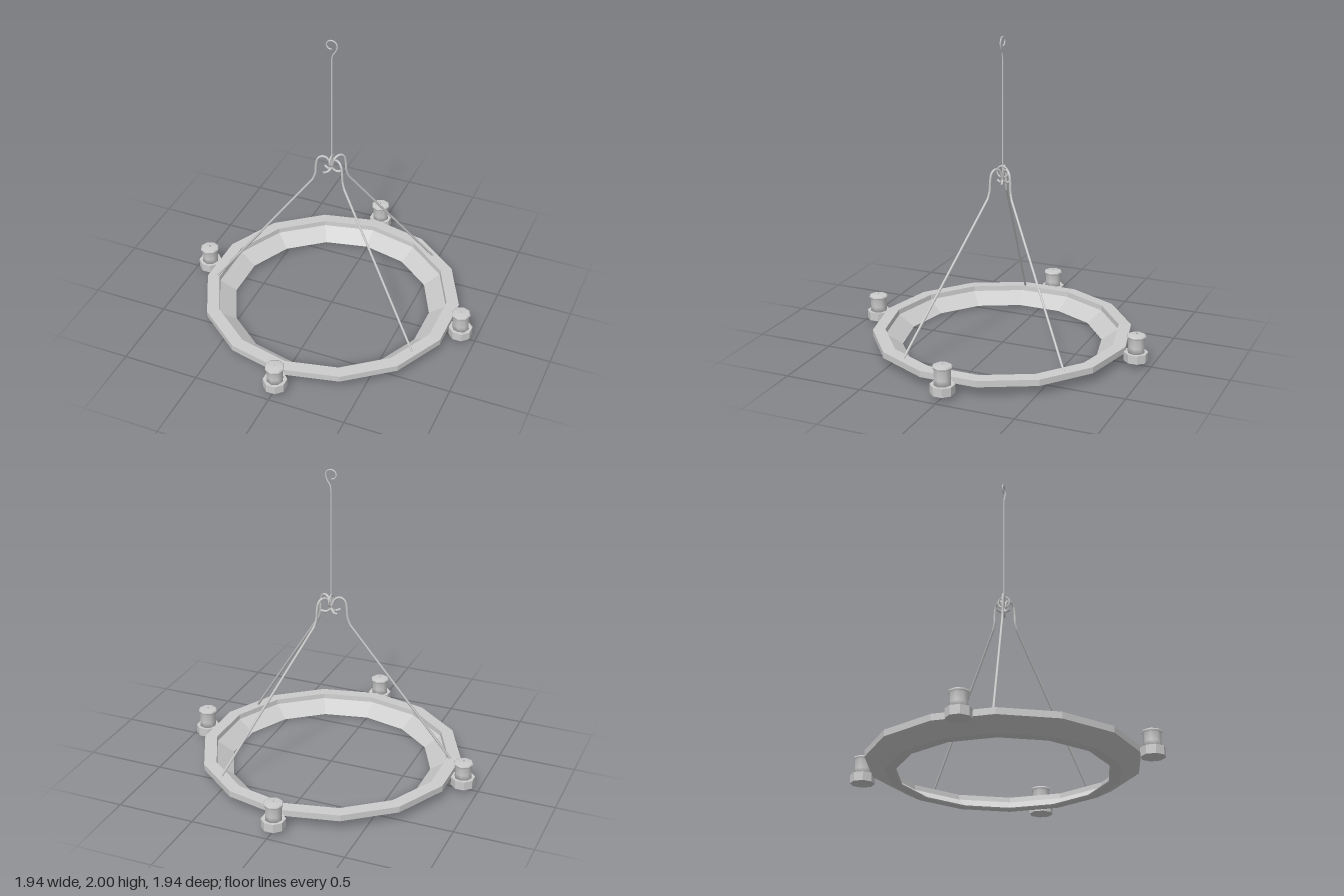
import * as THREE from 'three';

const metal = new THREE.MeshStandardMaterial({ color: 0xcccccc });
const faceted = new THREE.MeshStandardMaterial({ color: 0xcccccc, flatShading: true });

function addMesh(parent, name, geometry, material = metal) {
  const mesh = new THREE.Mesh(geometry, material);
  mesh.name = name;
  parent.add(mesh);
  return mesh;
}

const lathe = (pts, sides) =>
  new THREE.LatheGeometry(pts.map(([r, y]) => new THREE.Vector2(r, y)), sides);

// Round bar through [x, y] points, with straight runs kept as separate curve pieces
function bar(straightStart, bend, radius) {
  const v = ([x, y]) => new THREE.Vector3(x, y, 0);
  const path = new THREE.CurvePath();
  path.add(new THREE.LineCurve3(v(straightStart), v(bend[0])));
  path.add(new THREE.CatmullRomCurve3(bend.map(v), false, 'centripetal'));
  return new THREE.TubeGeometry(path, 90, radius, 6);
}

function createCandle(height, tilt) {
  const candle = new THREE.Group();
  candle.name = 'candleHolder';
  // Octagonal cup
  const cup = addMesh(candle, 'cup', new THREE.CylinderGeometry(0.076, 0.076, 0.056, 8), faceted);
  cup.position.y = 0.058;
  cup.rotation.y = Math.PI / 8;
  // Wax with a slightly flared, lipped top
  const wax = new THREE.Group();
  wax.name = 'candle';
  wax.position.y = 0.08;
  wax.rotation.z = tilt;
  candle.add(wax);
  const h = height - 0.08;
  addMesh(wax, 'wax', lathe([[0, -0.01], [0.056, -0.01], [0.053, 0.04], [0.055, h - 0.03],
    [0.062, h - 0.022], [0.063, h - 0.012], [0.054, h - 0.007], [0, h - 0.004]], 8));
  addMesh(wax, 'wick', new THREE.CylinderGeometry(0.004, 0.004, 0.02, 5)).position.y = h - 0.003;
  return candle;
}

export function createModel() {
  const model = new THREE.Group();
  model.name = 'chandelier';

  // Fourteen-sided ring with sloping underside and a stepped inner face
  const ring = addMesh(model, 'ring', lathe([[0.71, 0], [0.83, 0.065], [0.83, 0.105], [0.75, 0.108],
    [0.747, 0.075], [0.64, 0.005], [0.645, 0], [0.71, 0]], 14), faceted);
  ring.scale.x = 1.02;

  // Four candles around the ring
  const candles = [[0.9, 0, 0.212, 0.03], [-0.9, 0, 0.199, 0], [0, 0.9, 0.2, 0], [0, -0.9, 0.206, 0.02]];
  for (const [x, z, height, tilt] of candles) {
    const candle = createCandle(height, tilt);
    candle.position.set(x, 0, z);
    model.add(candle);
  }

  // Three arms that hook over the central link
  const hook = [[0.12, 0.99], [0.104, 1.04], [0.1, 1.1], [0.088, 1.15], [0.06, 1.17], [0.028, 1.16],
    [0.008, 1.12], [-0.004, 1.09], [-0.03, 1.07], [-0.065, 1.074]];
  for (const [x, z] of [[-0.77, 0.155], [0.495, -0.61], [0.7, 0.36]]) {
    const arm = addMesh(model, 'arm', bar([Math.hypot(x, z), 0.1], hook, 0.008));
    arm.rotation.y = Math.atan2(-z, x);
  }

  // Link joining the arms to the hanging rod
  const link = addMesh(model, 'link', new THREE.TorusGeometry(0.037, 0.006, 6, 20));
  link.rotation.y = Math.PI / 2;
  link.position.y = 1.145;

  // Hanging rod with a curled hook at the top
  const curl = [[0, 1.86], [0.006, 1.895], [0.026, 1.927], [0.035, 1.96], [0.025, 1.985], [0, 1.995],
    [-0.024, 1.985], [-0.034, 1.962], [-0.024, 1.942], [0, 1.935]];
  addMesh(model, 'hangingRod', bar([0, 1.09], curl, 0.005));

  return model;
}
